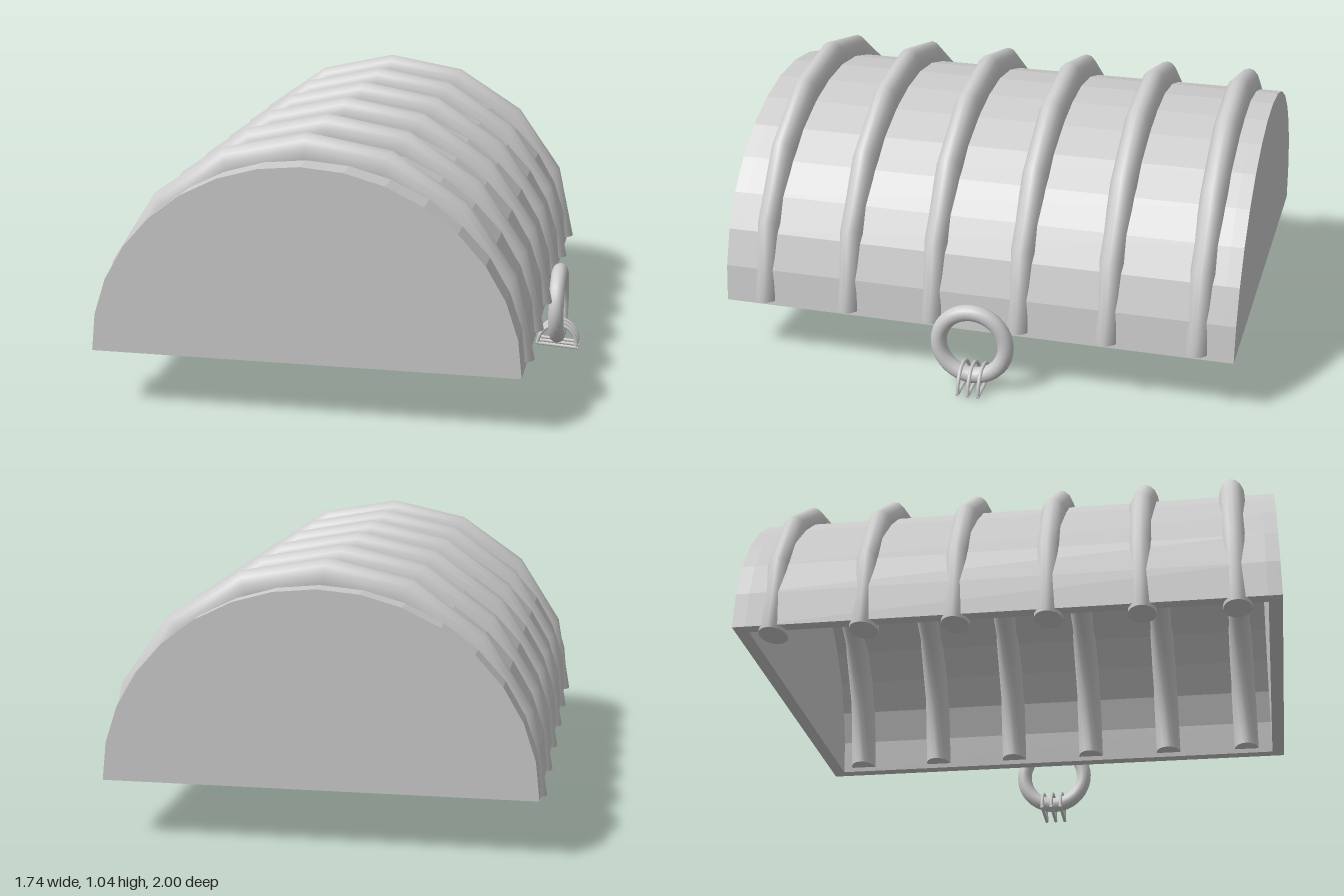
import * as THREE from 'three';

const CX = -0.055, BASE = 0.22, WALL = 0.05;

// Half-ellipse outline in 16 straight facets, from right foot to left foot
function archPoints(rx, ry) {
  const pts = [];
  for (let i = 0; i <= 16; i++) {
    const a = (i / 16) * Math.PI;
    pts.push(new THREE.Vector2(CX + rx * Math.cos(a), BASE + ry * Math.sin(a)));
  }
  return pts;
}

function extrude(points, z, depth) {
  const geo = new THREE.ExtrudeGeometry(new THREE.Shape(points), { depth, bevelEnabled: false });
  return geo.translate(0, 0, z);
}

export function createModel() {
  const model = new THREE.Group();
  model.name = 'ribbedLid';
  const grey = new THREE.MeshStandardMaterial({ color: 0xcccccc });
  grey.name = 'plain grey';

  const add = (parent, name, geo) => {
    const mesh = new THREE.Mesh(geo, grey);
    mesh.name = name;
    parent.add(mesh);
    return mesh;
  };

  // Hollow arched shell, open underneath
  const outer = archPoints(0.795, 0.73);
  const inner = archPoints(0.795 - WALL, 0.73 - WALL).reverse();
  add(model, 'archedShell', extrude([...outer, ...inner], -1 + WALL, 2 - 2 * WALL));

  // Closed end walls
  add(model, 'frontWall', extrude(outer, 1 - WALL, WALL));
  add(model, 'backWall', extrude(outer, -1, WALL));

  // Six rounded ribs, half sunk through the shell and slightly tilted
  const R = 0.74, r = 0.08;
  const hoopGeo = new THREE.TorusGeometry(R, r, 16, 8, Math.PI);
  const footGeo = new THREE.CircleGeometry(r, 16).rotateX(Math.PI / 2);
  for (let i = 0; i < 6; i++) {
    const rib = new THREE.Group();
    rib.name = 'rib' + (i + 1);
    rib.position.set(-0.05, 0.222, 0.84 - i * 0.34);
    rib.rotation.z = 0.022;
    rib.scale.z = 0.052 / r;
    add(rib, 'ribHoop', hoopGeo);
    for (const side of [-1, 1]) add(rib, 'ribFoot', footGeo).position.x = side * R;
    model.add(rib);
  }

  // Hanging ring on the left side
  const ring = add(model, 'pullRing', new THREE.TorusGeometry(0.132, 0.031, 14, 36));
  ring.rotation.y = Math.PI / 2;
  ring.position.set(0.782, 0.185, -0.015);

  // Three thin D-shaped wires through the bottom of the ring
  const wireArc = new THREE.TorusGeometry(0.08, 0.007, 8, 16, Math.PI);
  const wireBar = new THREE.CylinderGeometry(0.007, 0.007, 0.174, 8).rotateZ(Math.PI / 2);
  for (const z of [0.02, -0.02, -0.06]) {
    const wire = new THREE.Group();
    wire.name = 'wireLoop';
    wire.position.set(0.782, 0.014, z);
    wire.rotation.z = -0.07;
    add(wire, 'wireArc', wireArc).scale.y = 1.1;
    add(wire, 'wireBar', wireBar);
    model.add(wire);
  }

  return model;
}
